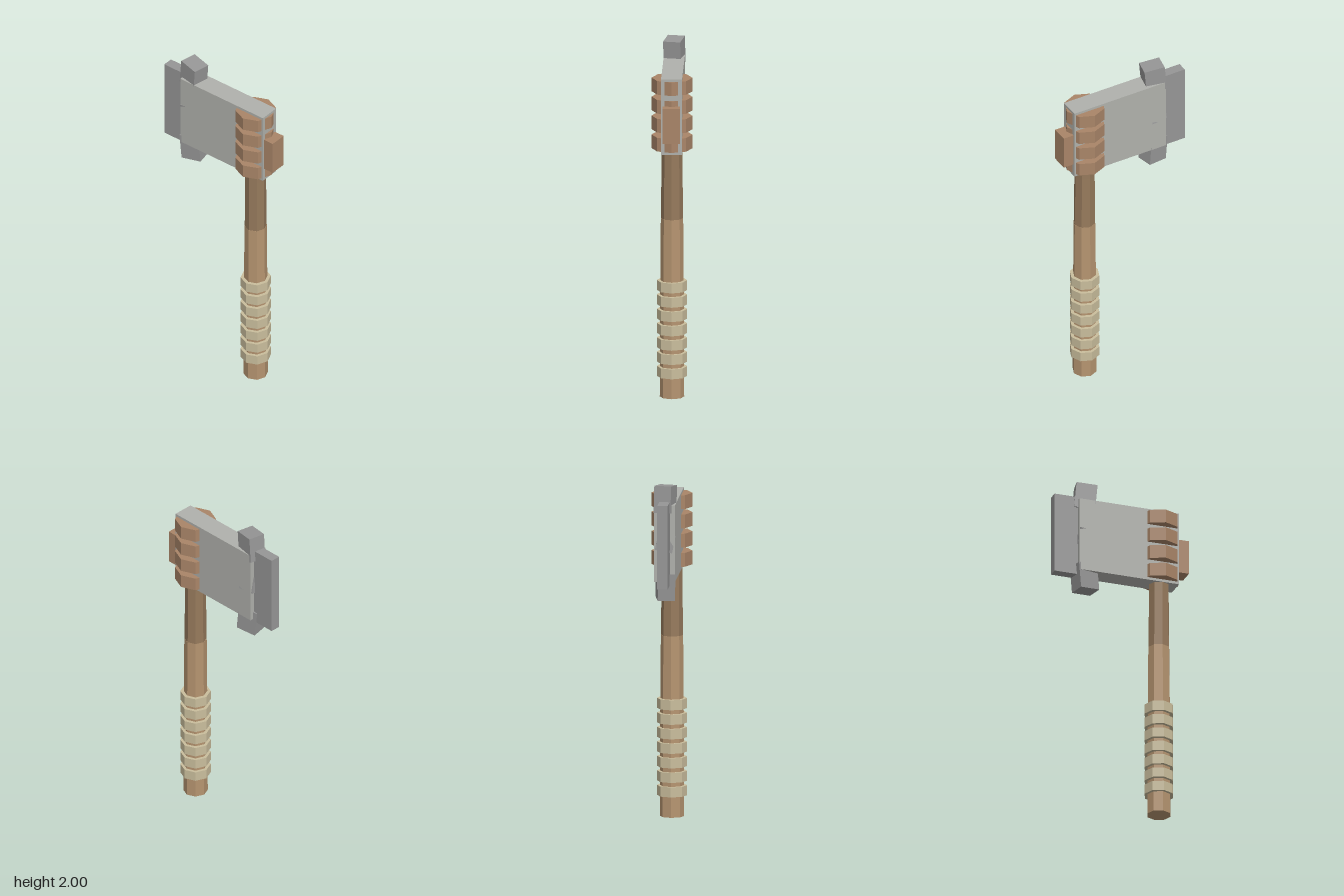
import * as THREE from 'three';

const mat = (color) => new THREE.MeshStandardMaterial({ color, flatShading: true });

export function createModel() {
  const group = new THREE.Group();
  const wood = mat(0xb59470), darkWood = mat(0x967a5c), wrap = mat(0xc9bd9c);
  const leather = mat(0xa98568), stone = mat(0xb0b1ac), darkStone = mat(0x969696);
  const shaftZ = 0.24;
  const headY = 1.667;

  const add = (name, geometry, material, x, y, z) => {
    const mesh = new THREE.Mesh(geometry, material);
    mesh.name = name;
    mesh.position.set(x, y, z);
    group.add(mesh);
    return mesh;
  };
  // Eight-sided section on the shaft axis, between two heights
  const ring = (name, rTop, rBottom, y0, y1, material) =>
    add(name, new THREE.CylinderGeometry(rTop, rBottom, y1 - y0, 8), material, 0, (y0 + y1) / 2, shaftZ);
  const box = (name, w, h, d, material, x, y, z) =>
    add(name, new THREE.BoxGeometry(w, h, d), material, x, y, z);

  // Handle in three slightly tapering lengths
  ring('handleGrip', 0.067, 0.07, 0, 0.69, wood);
  ring('handleMiddle', 0.064, 0.067, 0.69, 1.05, wood);
  ring('handleUpper', 0.06, 0.063, 1.05, 1.39, darkWood);
  ring('handleTop', 0.06, 0.06, 1.39, 1.5, darkWood);

  // Grip wrapping
  for (let i = 0; i < 7; i++) {
    const y = 0.15 + i * 0.0842;
    ring('gripWrap', 0.087, 0.087, y - 0.029, y + 0.029, wrap);
  }

  // Stone head with bindings and front wedge
  box('head', 0.12, 0.445, 0.605, stone, 0, headY, 0.0385);
  for (let i = 0; i < 4; i++) {
    const y = 1.5 + i * 0.1115;
    ring('headBinding', 0.117, 0.117, y - 0.04, y + 0.04, leather);
  }
  box('frontWedge', 0.1, 0.205, 0.205, leather, 0, 1.628, 0.3025);

  // Cutting edge
  box('blade', 0.06, 0.485, 0.15, darkStone, 0, headY, -0.33);

  // Crooked stones above and below, each twisted and leaning forward
  for (const s of [1, -1]) {
    const chip = box('edgeStone', 0.1, 0.155, 0.122, darkStone, 0, headY + s * 0.25, -0.212);
    chip.rotation.set(s * 0.09, -s * 0.2, 0, 'YXZ');
  }
  // Rough stone barely breaking through behind the head
  box('innerStone', 0.1, 0.1, 0.1, darkStone, 0, headY, -0.217).rotation.set(0.05, 0.08, 0.2);

  return group;
}
